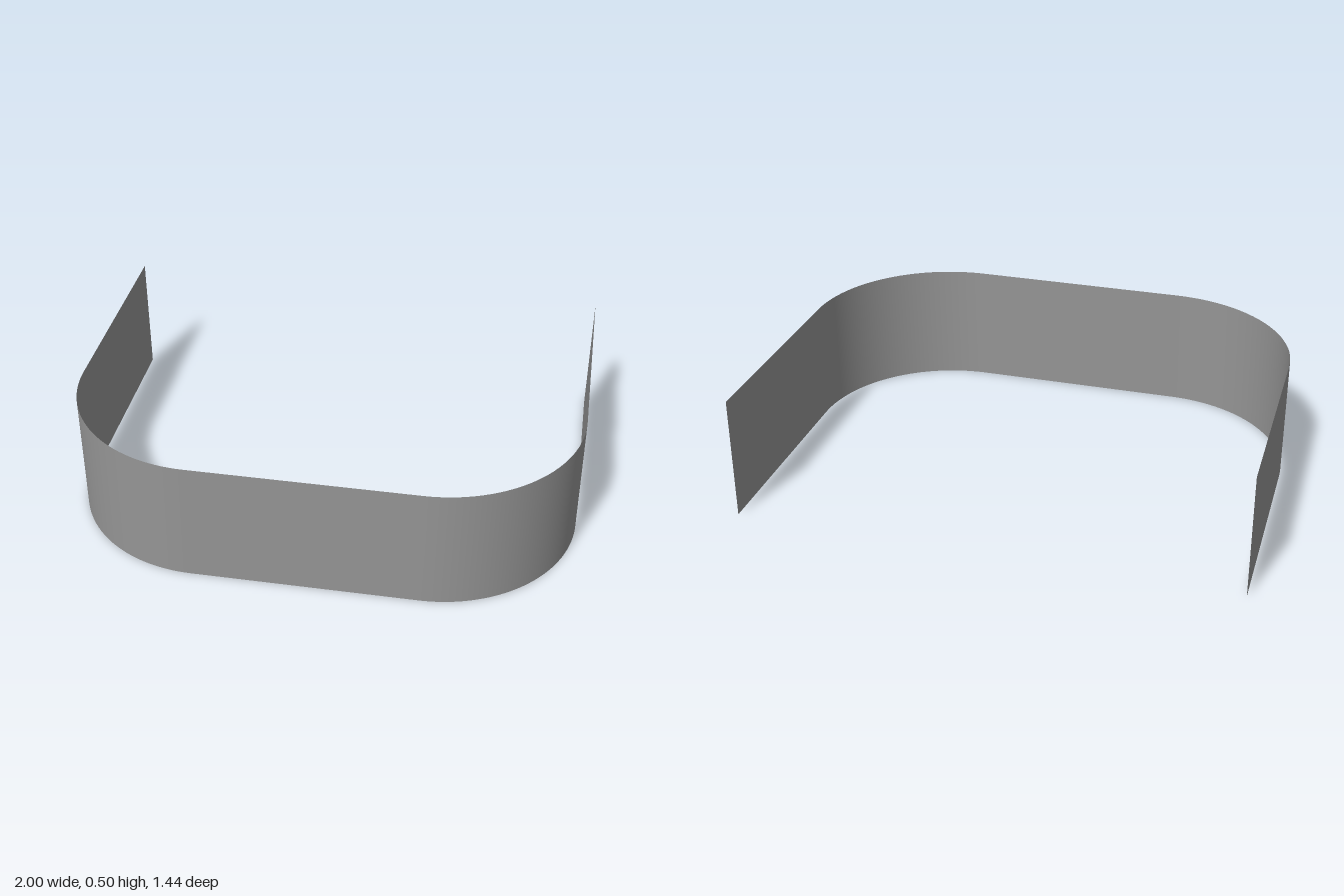
import * as THREE from 'three';

const HALF_WIDTH = 1, HALF_DEPTH = 0.718, HEIGHT = 0.498, RADIUS = 0.56;

export function createModel() {
  const group = new THREE.Group();
  const cx = HALF_WIDTH - RADIUS, cz = HALF_DEPTH - RADIUS;

  // Plan outline in (x, z): a U open at the back with two rounded front corners
  const outline = new THREE.Path();
  outline.moveTo(-HALF_WIDTH, -HALF_DEPTH);
  outline.lineTo(-HALF_WIDTH, cz);
  outline.absarc(-cx, cz, RADIUS, Math.PI, Math.PI / 2, true);
  outline.lineTo(cx, HALF_DEPTH);
  outline.absarc(cx, cz, RADIUS, Math.PI / 2, 0, true);
  outline.lineTo(HALF_WIDTH, -HALF_DEPTH);
  const points = outline.getPoints(16);

  // Thin upright band: a flat strip bent along the outline
  const geometry = new THREE.PlaneGeometry(1, HEIGHT, points.length - 1, 1);
  const position = geometry.attributes.position;
  for (let i = 0; i < position.count; i++) {
    const p = points[i % points.length];
    position.setXYZ(i, p.x, position.getY(i) + HEIGHT / 2, p.y);
  }
  geometry.computeVertexNormals();

  const material = new THREE.MeshStandardMaterial({ color: 0x959595, side: THREE.DoubleSide });
  const band = new THREE.Mesh(geometry, material);
  band.name = 'curvedWallBand';
  group.add(band);
  return group;
}
